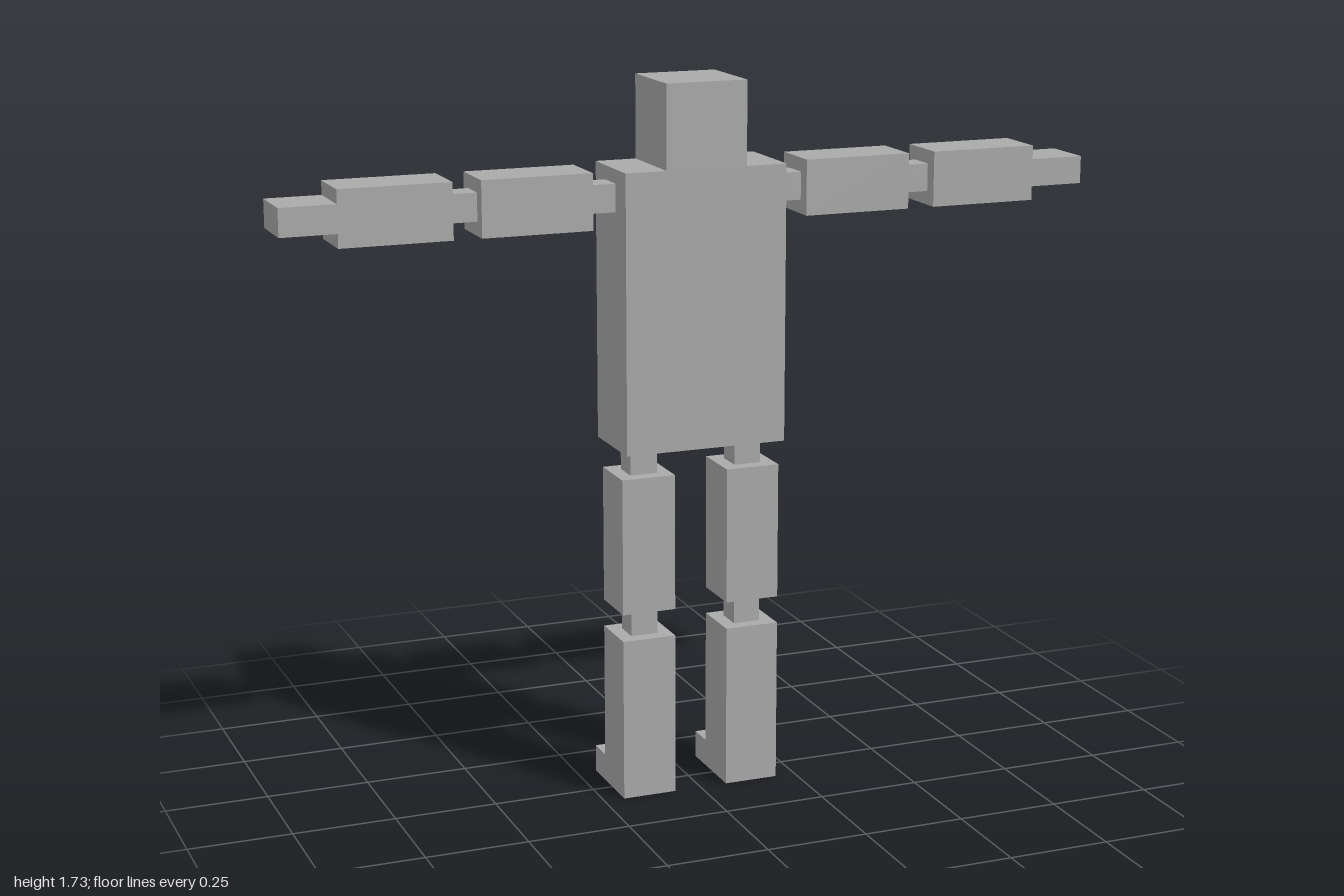
import * as THREE from 'three';

const U = 1 / 15; // size of one block

export function createModel() {
  const model = new THREE.Group();
  model.name = 'blockFigure';

  const grey = new THREE.MeshStandardMaterial({ color: 0xaaaaaa });
  grey.name = 'grey';

  // Box from its extents, in block units
  function block(parent, name, [x0, x1], [y0, y1], [z0, z1]) {
    const geometry = new THREE.BoxGeometry((x1 - x0) * U, (y1 - y0) * U, (z1 - z0) * U);
    const mesh = new THREE.Mesh(geometry, grey);
    mesh.name = name;
    mesh.position.set((x0 + x1) / 2 * U, (y0 + y1) / 2 * U, (z0 + z1) / 2 * U);
    parent.add(mesh);
  }

  const bodyZ = [-1.25, 1.75];
  const limbZ = [-0.75, 1.25];
  const jointZ = [-0.25, 0.75];

  block(model, 'torso', [-3, 3], [13, 23], bodyZ);
  block(model, 'head', [-1.5, 1.5], [23, 26], bodyZ);

  for (const side of [1, -1]) {
    const label = side > 0 ? 'left' : 'right';
    const span = (a, b) => (side > 0 ? [a, b] : [-b, -a]);

    // Arm stretched out sideways
    const arm = new THREE.Group();
    arm.name = label + 'Arm';
    block(arm, 'shoulder', span(3, 4), [21.5, 22.5], jointZ);
    block(arm, 'upperArm', span(4, 8), [21, 23], limbZ);
    block(arm, 'elbow', span(8, 9), [21.5, 22.5], jointZ);
    block(arm, 'forearm', span(9, 13), [21, 23], limbZ);
    block(arm, 'hand', span(13, 15), [21.5, 22.5], limbZ);
    model.add(arm);

    // Leg with the foot pointing to -z
    const leg = new THREE.Group();
    leg.name = label + 'Leg';
    block(leg, 'hip', span(1.5, 2.5), [12, 13], jointZ);
    block(leg, 'thigh', span(1, 3), [7, 12], limbZ);
    block(leg, 'knee', span(1.5, 2.5), [6, 7], jointZ);
    block(leg, 'shin', span(1, 3), [0, 6], limbZ);
    block(leg, 'foot', span(1, 3), [0, 1], [-1.75, -0.75]);
    model.add(leg);
  }

  return model;
}
